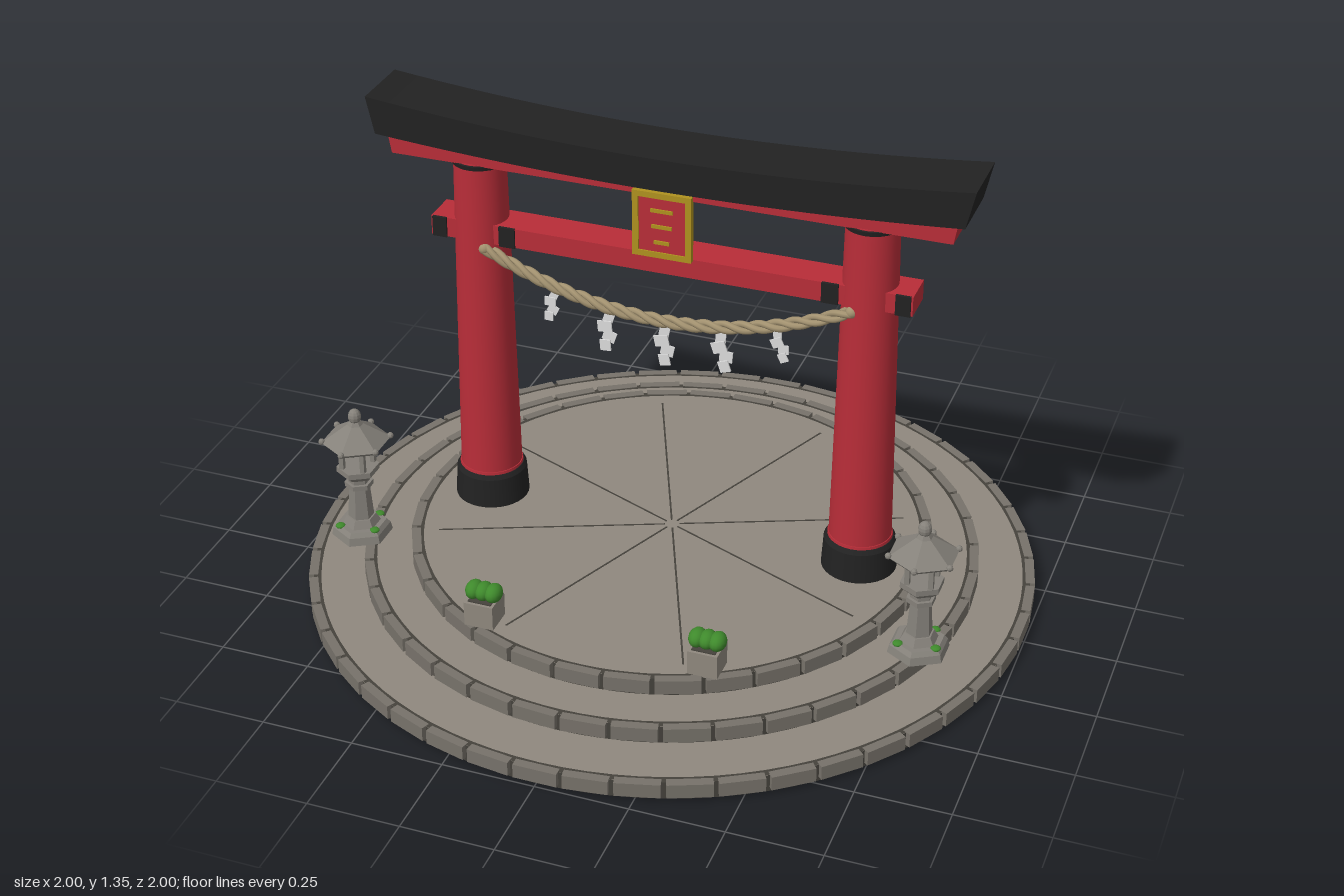
import * as THREE from 'three';

const mat = (name, color, extra = {}) => Object.assign(new THREE.MeshStandardMaterial({ color, ...extra }), { name });

export function createModel() {
  const stone = mat('stone', 0x8f887e);
  const brick = mat('brick', 0x77726a);
  const mortar = mat('mortar', 0x45423c);
  const carved = mat('carvedStone', 0x85817a, { flatShading: true });
  const red = mat('redLacquer', 0xb82d38);
  const black = mat('blackLacquer', 0x222222);
  const gold = mat('gold', 0xb0921f);
  const straw = mat('straw', 0xa39270);
  const paper = mat('paper', 0xdcdcdc);
  const leaf = mat('leaf', 0x3f8a2c);

  const root = new THREE.Group();
  root.name = 'shrineGate';
  const add = (parent, name, geometry, material, x = 0, y = 0, z = 0) => {
    const m = new THREE.Mesh(geometry, material);
    m.name = name;
    m.position.set(x, y, z);
    parent.add(m);
    return m;
  };
  const group = (name, parent = root) => {
    const g = new THREE.Group();
    g.name = name;
    parent.add(g);
    return g;
  };
  const box = (w, h, d) => new THREE.BoxGeometry(w, h, d);
  const cyl = (rt, rb, h, n = 32) => new THREE.CylinderGeometry(rt, rb, h, n);

  // Three round steps, each edged with a course of bricks
  const platform = group('platform');
  [[1, 48], [0.845, 40], [0.715, 34]].forEach(([r, count], i) => {
    const y = i * 0.05;
    add(platform, 'step', cyl(r - 0.014, r - 0.014, 0.05, 96), [mortar, stone, stone], 0, y + 0.025, 0);
    const inner = new THREE.RingGeometry(r - 0.034, r - 0.014, 96).rotateX(-Math.PI / 2);
    add(platform, 'mortarJoint', inner, mortar, 0, y + 0.0508, 0);
    const length = (2 * Math.PI * r) / count - 0.014;
    for (let k = 0; k < count; k++) {
      const a = ((k + (i % 2) / 2) / count) * Math.PI * 2;
      const b = add(platform, 'brick', box(length, 0.04, 0.025), brick,
        Math.sin(a) * (r - 0.0145), y + 0.0315, Math.cos(a) * (r - 0.0145));
      b.rotation.y = a;
    }
  });

  // Fine joints radiating over the paving
  for (let k = 0; k < 8; k++) {
    const a = ((k + 0.5) / 8) * Math.PI * 2;
    const joint = add(platform, 'pavingJoint', box(0.005, 0.001, 0.62), mortar,
      Math.sin(a) * 0.33, 0.1503, Math.cos(a) * 0.33);
    joint.rotation.y = a;
  }

  // Pillars with black feet and collars
  for (const s of [-1, 1]) {
    const pillar = group('pillar');
    pillar.position.x = s * 0.535;
    add(pillar, 'shaft', cyl(0.07, 0.085, 0.97), red, 0, 0.705, 0);
    add(pillar, 'foot', cyl(0.097, 0.102, 0.085), black, 0, 0.1925, 0);
    add(pillar, 'footRim', cyl(0.09, 0.097, 0.012), black, 0, 0.241, 0);
    add(pillar, 'lowerBand', cyl(0.087, 0.088, 0.008), red, 0, 0.251, 0);
    add(pillar, 'collar', cyl(0.077, 0.075, 0.012), black, 0, 1.182, 0);
  }

  // Curved beam: half widths at the bottom and top, edge heights y = mid + rise * t^2
  const beam = (wb, wt, bottom, top, depth) => {
    const shape = new THREE.Shape();
    const n = 24;
    for (let i = 0; i <= n; i++) {
      const t = (i / n) * 2 - 1;
      const y = bottom[0] + bottom[1] * t * t;
      if (i) shape.lineTo(t * wb, y); else shape.moveTo(t * wb, y);
    }
    for (let i = n; i >= 0; i--) {
      const t = (i / n) * 2 - 1;
      shape.lineTo(t * wt, top[0] + top[1] * t * t);
    }
    return new THREE.ExtrudeGeometry(shape, { depth, bevelEnabled: false }).translate(0, 0, -depth / 2);
  };
  add(root, 'roofBeam', beam(0.79, 0.813, [1.215, 0.033], [1.303, 0.047], 0.182), black);
  add(root, 'upperBeam', beam(0.757, 0.767, [1.187, 0], [1.225, 0.02], 0.13), red);
  add(root, 'tieBeam', box(1.32, 0.055, 0.1), red, 0, 0.985, 0);
  for (const x of [-0.635, -0.443, 0.443, 0.635])
    add(root, 'wedge', box(x * x > 0.3 ? 0.04 : 0.045, 0.057, 0.008), black, Math.sign(x) * (Math.abs(x)), 0.985, 0.051);

  // Framed plaque with three plain bars
  const plaque = group('plaque');
  plaque.position.set(0, 1.11, 0.068);
  add(plaque, 'backing', box(0.16, 0.185, 0.012), gold);
  add(plaque, 'panel', box(0.125, 0.152, 0.004), red, 0, 0, 0.007);
  for (const s of [-1, 1]) {
    add(plaque, 'frameSide', box(0.016, 0.185, 0.008), gold, s * 0.072, 0, 0.008);
    add(plaque, 'frameRail', box(0.16, 0.016, 0.008), gold, 0, s * 0.0845, 0.008);
  }
  [0.06, 0.055, 0.042].forEach((w, i) => add(plaque, 'bar', box(w, 0.01, 0.006), gold, 0, 0.042 - i * 0.045, 0.01));

  // Sagging rope of three twisted strands
  const ropeY = (x) => 0.822 + 0.125 * (x / 0.505) ** 2;
  const rope = group('rope');
  for (let s = 0; s < 3; s++) {
    const points = [];
    for (let i = 0; i <= 120; i++) {
      const t = i / 120, x = (t * 2 - 1) * 0.505;
      const a = t * Math.PI * 2 * 7 + (s * Math.PI * 2) / 3;
      points.push(new THREE.Vector3(x, ropeY(x) + Math.cos(a) * 0.01, 0.058 + Math.sin(a) * 0.01));
    }
    add(rope, 'strand', new THREE.TubeGeometry(new THREE.CatmullRomCurve3(points), 180, 0.009, 8), straw);
  }
  for (const s of [-1, 1])
    add(rope, 'knot', new THREE.SphereGeometry(0.017, 12, 8), straw, s * 0.505, 0.947, 0.06);

  // Folded paper streamers
  for (const x of [-0.305, -0.153, 0, 0.153, 0.305]) {
    const streamer = group('streamer');
    const k = Math.abs(x) > 0.2 ? 0.8 : 1;
    streamer.position.set(x, ropeY(x) - 0.008, 0.058);
    streamer.rotation.z = x * 0.8;
    streamer.scale.setScalar(k);
    [[0, 0.028], [-0.007, 0.04], [0.008, 0.036], [0.001, 0.03]].forEach(([dx, w], i) => {
      const fold = add(streamer, 'fold', box(w, 0.032, 0.004), paper, dx, -0.022 - i * 0.028, (i % 2) * 0.004);
      fold.rotation.z = i % 2 ? 0.2 : -0.2;
    });
  }

  // Stone lanterns: six-sided stages with a pointed roof
  for (const s of [-1, 1]) {
    const lantern = group('lantern');
    lantern.position.set(s * 0.788, 0.147, 0.318);
    const stages = [
      ['base', 0.078, 0.083, 0, 0.022], ['baseRim', 0.068, 0.078, 0.022, 0.034],
      ['plinth', 0.04, 0.052, 0.034, 0.056], ['shaft', 0.028, 0.035, 0.056, 0.152],
      ['shaftRing', 0.039, 0.039, 0.152, 0.166], ['neck', 0.03, 0.03, 0.166, 0.182],
      ['tray', 0.058, 0.038, 0.182, 0.2], ['trayRim', 0.058, 0.058, 0.2, 0.216],
      ['eaves', 0.094, 0.084, 0.286, 0.296], ['roof', 0.022, 0.094, 0.296, 0.345],
      ['roofCap', 0.014, 0.022, 0.345, 0.357],
    ];
    for (const [name, rt, rb, y0, y1] of stages)
      add(lantern, name, cyl(rt, rb, y1 - y0, 6), carved, 0, (y0 + y1) / 2, 0);
    for (let i = 0; i < 4; i++)
      add(lantern, 'post', box(0.013, 0.074, 0.013), carved, i % 2 ? 0.031 : -0.031, 0.251, i < 2 ? 0.031 : -0.031);
    for (let i = 0; i < 6; i++) {
      const a = (i * Math.PI) / 3;
      add(lantern, 'roofCorner', new THREE.SphereGeometry(0.009, 8, 6), carved, Math.sin(a) * 0.092, 0.299, Math.cos(a) * 0.092);
    }
    add(lantern, 'finial', new THREE.SphereGeometry(0.018, 10, 8), carved, 0, 0.369, 0).scale.y = 1.25;
    for (const [x, z] of [[-0.045, 0.04], [0.052, 0.028], [0.03, -0.05]])
      add(lantern, 'moss', new THREE.SphereGeometry(0.014, 10, 6), leaf, x, 0.033, z).scale.y = 0.45;
  }

  // Planters with a row of clipped shrubs
  for (const s of [-1, 1]) {
    const planter = group('planter');
    planter.position.set(s * 0.307, 0.15, 0.585);
    add(planter, 'pot', box(0.08, 0.07, 0.08), stone, 0, 0.035, 0);
    add(planter, 'soil', box(0.064, 0.004, 0.064), mortar, 0, 0.071, 0);
    for (const x of [-0.027, 0, 0.027])
      add(planter, 'shrub', new THREE.SphereGeometry(0.026, 14, 10), leaf, x, 0.088, -0.003).scale.set(0.9, 0.95, 1.2);
  }
  return root;
}
